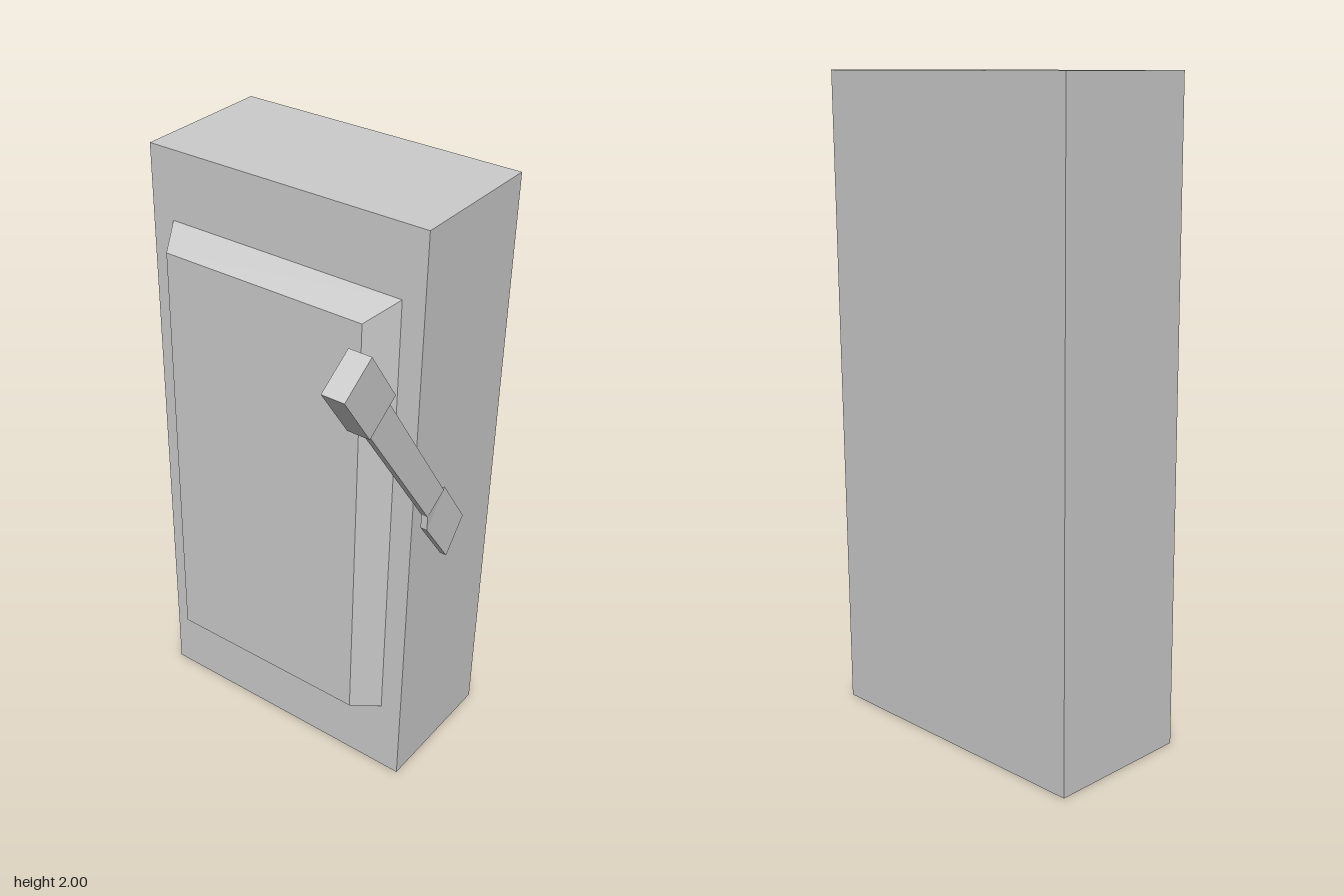
import * as THREE from 'three';

const material = new THREE.MeshStandardMaterial({ color: 0xcccccc, flatShading: true });

// Solid between two matching loops, counter-clockwise as seen from the end loop.
// Caps are filled with strips of quads between the two sides of the loop.
function loft(name, start, end) {
  const n = start.length;
  const pos = [];
  const quad = (a, b, c, d) => [a, b, c, a, c, d].forEach((p) => pos.push(...p));
  for (let i = 0; i < n; i++) {
    const j = (i + 1) % n;
    quad(start[i], start[j], end[j], end[i]);
  }
  for (let i = 0; i < n / 2 - 1; i++) {
    const k = [i, i + 1, n - 2 - i, n - 1 - i];
    quad(...k.map((m) => end[m]));
    quad(...k.reverse().map((m) => start[m]));
  }
  const geometry = new THREE.BufferGeometry();
  geometry.setAttribute('position', new THREE.Float32BufferAttribute(pos, 3));
  geometry.computeVertexNormals();
  const mesh = new THREE.Mesh(geometry, material);
  mesh.name = name;
  return mesh;
}

const rect = (x0, x1, y0, y1, z) => [[x0, y0, z], [x1, y0, z], [x1, y1, z], [x0, y1, z]];

// Places a [z, y] side profile at a given x (an optional third value overrides x)
const atX = (profile, x) => profile.map(([z, y, own]) => [own ?? x, y, z]);

export function createModel() {
  const model = new THREE.Group();

  // Cabinet
  const body = new THREE.Mesh(new THREE.BoxGeometry(0.962, 2, 0.468), material);
  body.name = 'cabinet';
  body.position.set(-0.033, 1, -0.227);
  model.add(body);

  // Raised front panel with bevelled sides
  model.add(loft('frontPanel',
    rect(-0.438, 0.374, 0.267, 1.777, 0.007),
    rect(-0.379, 0.316, 0.315, 1.729, 0.109)));

  // Side lever: straight arm ending in a wedge that thins towards the back
  const lever = new THREE.Group();
  lever.name = 'lever';
  const thin = 0.468;
  const arm = [
    [0.326, 1.565], [-0.013, 1.088], [-0.013, 1.04], [-0.14, 0.865],
    [-0.26, 0.939, thin], [-0.135, 1.119, thin], [-0.095, 1.14], [0.241, 1.629],
  ];
  lever.add(loft('leverArm', atX(arm.map(([z, y]) => [z, y]), 0.466), atX(arm, 0.488)));

  // Grip block at the top of the arm
  const grip = [[0.46, 1.729], [0.342, 1.56], [0.229, 1.639], [0.346, 1.808]];
  lever.add(loft('leverGrip', atX(grip, 0.438), atX(grip, 0.51)));
  model.add(lever);

  return model;
}
